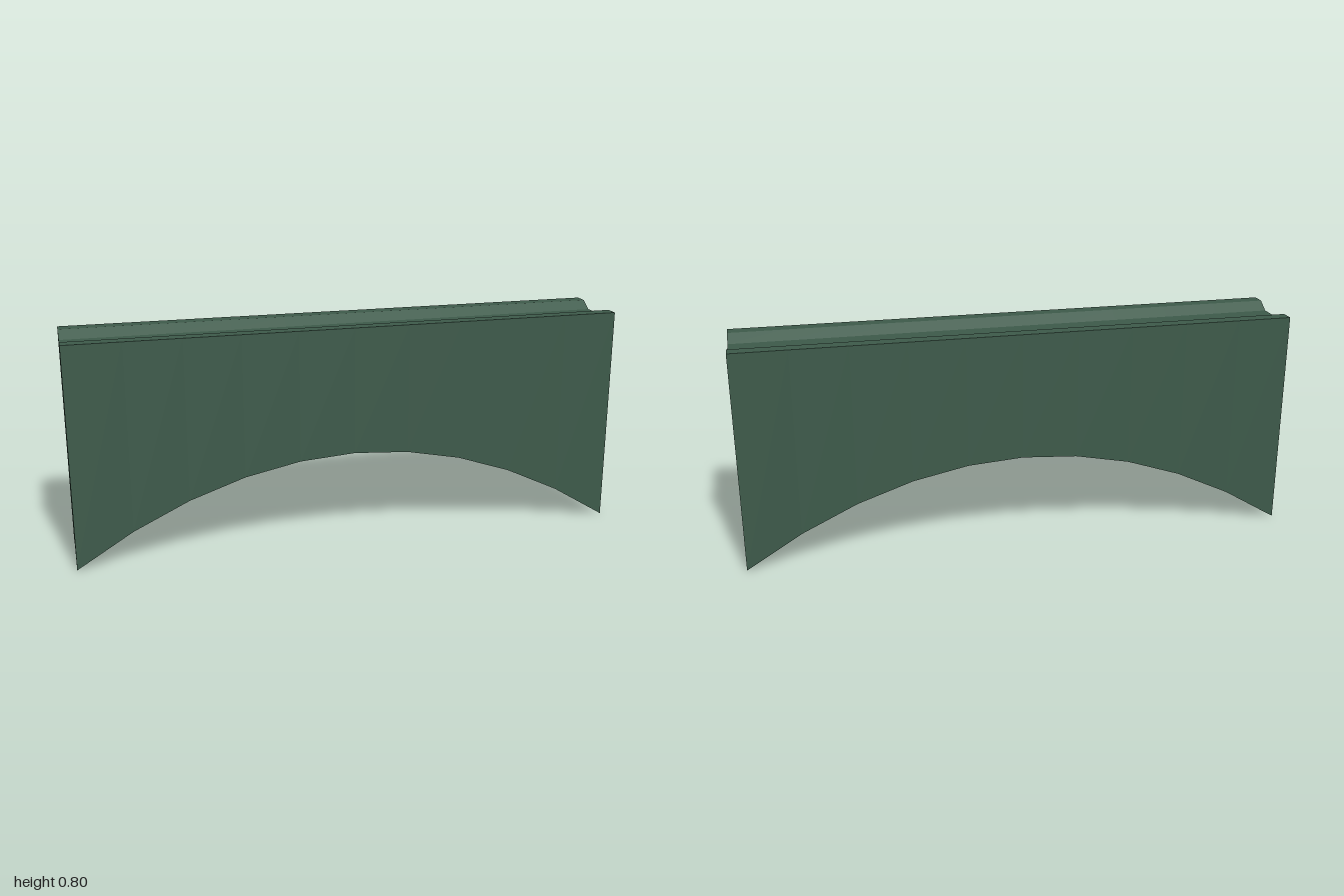
import * as THREE from 'three';

const HEIGHT = 0.8, RISE = 0.34, GROOVE = 0.028, SEGMENTS = 10;
// Columns across the thickness: [z, how far the groove cuts in]
const COLUMNS = [[0.15, 0], [0.1, 0], [0.057, GROOVE], [-0.057, GROOVE], [-0.1, 0], [-0.15, 0]];

export function createModel() {
  const green = new THREE.MeshStandardMaterial({ color: 0x3d5a4a });
  green.name = 'dark green';

  const positions = [];
  const quad = (a, b, c, d) => positions.push(...a, ...b, ...c, ...a, ...c, ...d);

  // Cross-sections along the beam: a straight top edge and a parabolic underside
  const sections = [];
  for (let i = 0; i <= SEGMENTS; i++) {
    const x = -1 + (2 * i) / SEGMENTS;
    const arch = RISE * (1 - x * x);
    sections.push({
      top: COLUMNS.map(([z, cut]) => [x, HEIGHT - cut, z]),
      bottom: COLUMNS.map(([z, cut]) => [x, arch + cut, z]),
    });
  }

  const last = COLUMNS.length - 1;
  for (let i = 0; i < SEGMENTS; i++) {
    const l = sections[i], r = sections[i + 1];
    // Grooved top and grooved underside
    for (let j = 0; j < last; j++) {
      quad(l.top[j], r.top[j], r.top[j + 1], l.top[j + 1]);
      quad(l.bottom[j + 1], r.bottom[j + 1], r.bottom[j], l.bottom[j]);
    }
    // Front and back faces
    quad(l.bottom[0], r.bottom[0], r.top[0], l.top[0]);
    quad(r.bottom[last], l.bottom[last], l.top[last], r.top[last]);
  }

  // End faces
  const a = sections[0], b = sections[SEGMENTS];
  for (let j = 0; j < last; j++) {
    quad(a.bottom[j + 1], a.bottom[j], a.top[j], a.top[j + 1]);
    quad(b.bottom[j], b.bottom[j + 1], b.top[j + 1], b.top[j]);
  }

  const geometry = new THREE.BufferGeometry();
  geometry.setAttribute('position', new THREE.Float32BufferAttribute(positions, 3));
  geometry.computeVertexNormals(); // unshared corners keep every facet flat

  const beam = new THREE.Mesh(geometry, green);
  beam.name = 'archedBeam';

  const group = new THREE.Group();
  group.name = 'archSpan';
  group.add(beam);
  return group;
}
